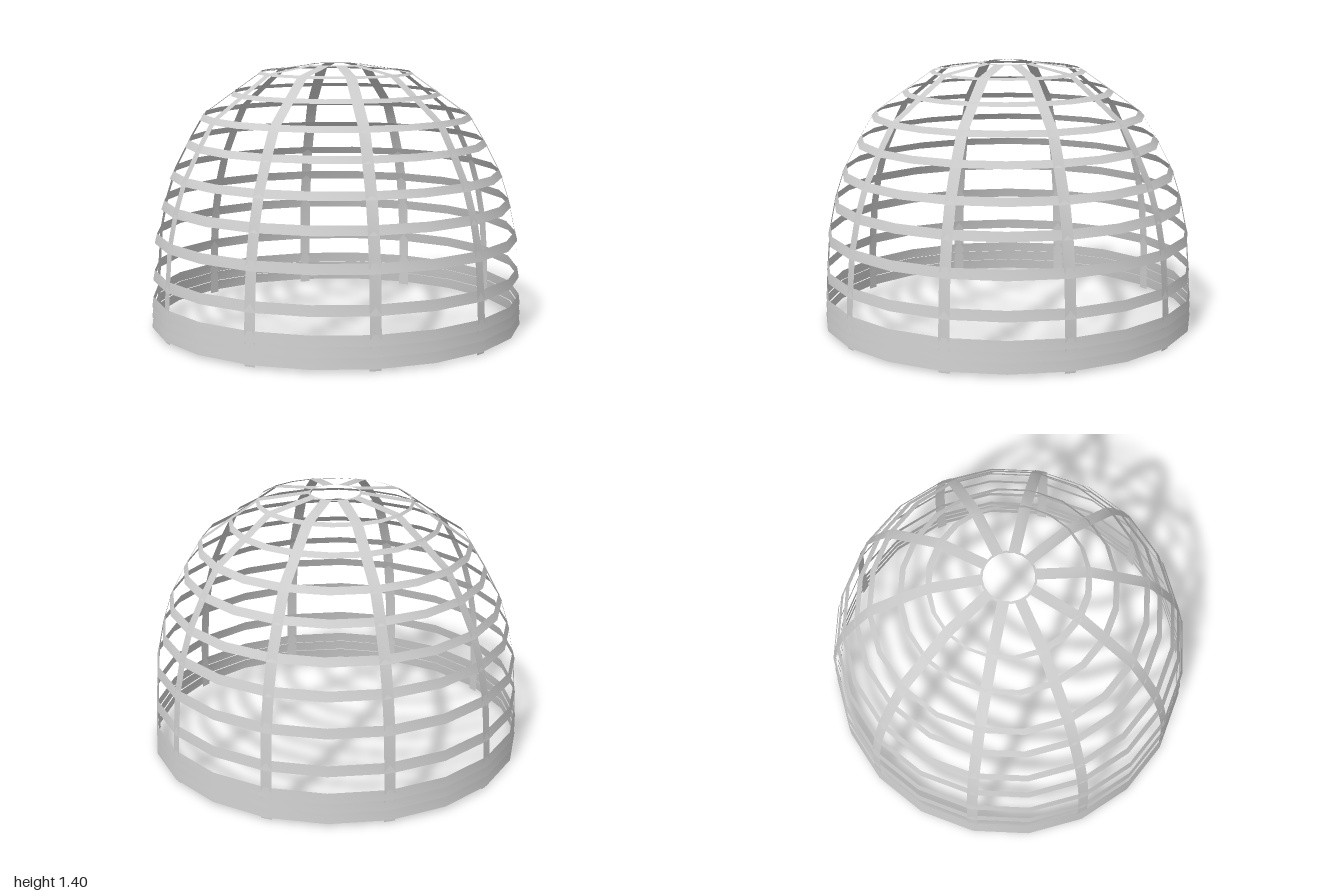
import * as THREE from 'three';

const material = new THREE.MeshStandardMaterial({ color: 0xcccccc, side: THREE.DoubleSide });

// Thin strip joining two equally long rows of points
function strip(name, a, b) {
  const pos = [], index = [];
  a.forEach((p, i) => {
    pos.push(...p, ...b[i]);
    if (i > 0) {
      const k = 2 * i;
      index.push(k - 2, k, k - 1, k - 1, k, k + 1);
    }
  });
  const geometry = new THREE.BufferGeometry();
  geometry.setAttribute('position', new THREE.Float32BufferAttribute(pos, 3));
  geometry.setIndex(index);
  geometry.computeVertexNormals();
  const mesh = new THREE.Mesh(geometry, material);
  mesh.name = name;
  return mesh;
}

// Twenty-sided band; its upper edge leans inwards by dx and dz
function band(name, r, y0, y1, dx, dz) {
  const edge = (rx, rz, y) => Array.from({ length: 21 }, (_, i) => {
    const t = (i / 20) * Math.PI * 2;
    return [rx * Math.sin(t), y, rz * Math.cos(t)];
  });
  return strip(name, edge(r, r, y0), edge(r - dx, r - dz, y1));
}

export function createModel() {
  const model = new THREE.Group();
  model.name = 'domeFrame';

  // Horizontal hoops: radius, bottom, top, inward lean in x and z
  const hoops = [
    [0.99, 0.27, 0.325, 0.01, 0.01],
    [0.978, 0.47, 0.522, 0.013, 0.013],
    [0.94, 0.65, 0.698, 0.016, 0.02],
    [0.893, 0.812, 0.853, 0.02, 0.025],
    [0.81, 0.978, 1.013, 0.02, 0.033],
    [0.73, 1.118, 1.148, 0.02, 0.035],
    [0.563, 1.243, 1.264, 0.016, 0.035],
    [0.417, 1.355, 1.367, 0.012, 0.037],
  ];
  hoops.forEach((h) => model.add(band('hoop', ...h)));

  // Base wall of three stacked bands
  [0.013, 0.069, 0.124].forEach((y, i) => {
    model.add(band('baseBand', 1 - i * 0.001, y, y + 0.055, 0.007, 0.007));
  });

  // Small ring around the crown opening
  model.add(band('crownRing', 0.142, 1.402, 1.405, 0.012, 0.012));

  // Ten upright ribs following the dome profile
  const profile = [
    [0.988, 0], [0.99, 0.16], [0.983, 0.3], [0.967, 0.5], [0.93, 0.68], [0.88, 0.835],
    [0.795, 1.0], [0.715, 1.135], [0.55, 1.255], [0.4, 1.362], [0.13, 1.405],
  ];
  const half = 0.029;
  for (let i = 0; i < 10; i++) {
    const rib = strip('rib',
      profile.map(([r, y]) => [-half, y, r]),
      profile.map(([r, y]) => [half, y, r]));
    rib.rotation.y = (i / 10) * Math.PI * 2;
    model.add(rib);
  }
  return model;
}
